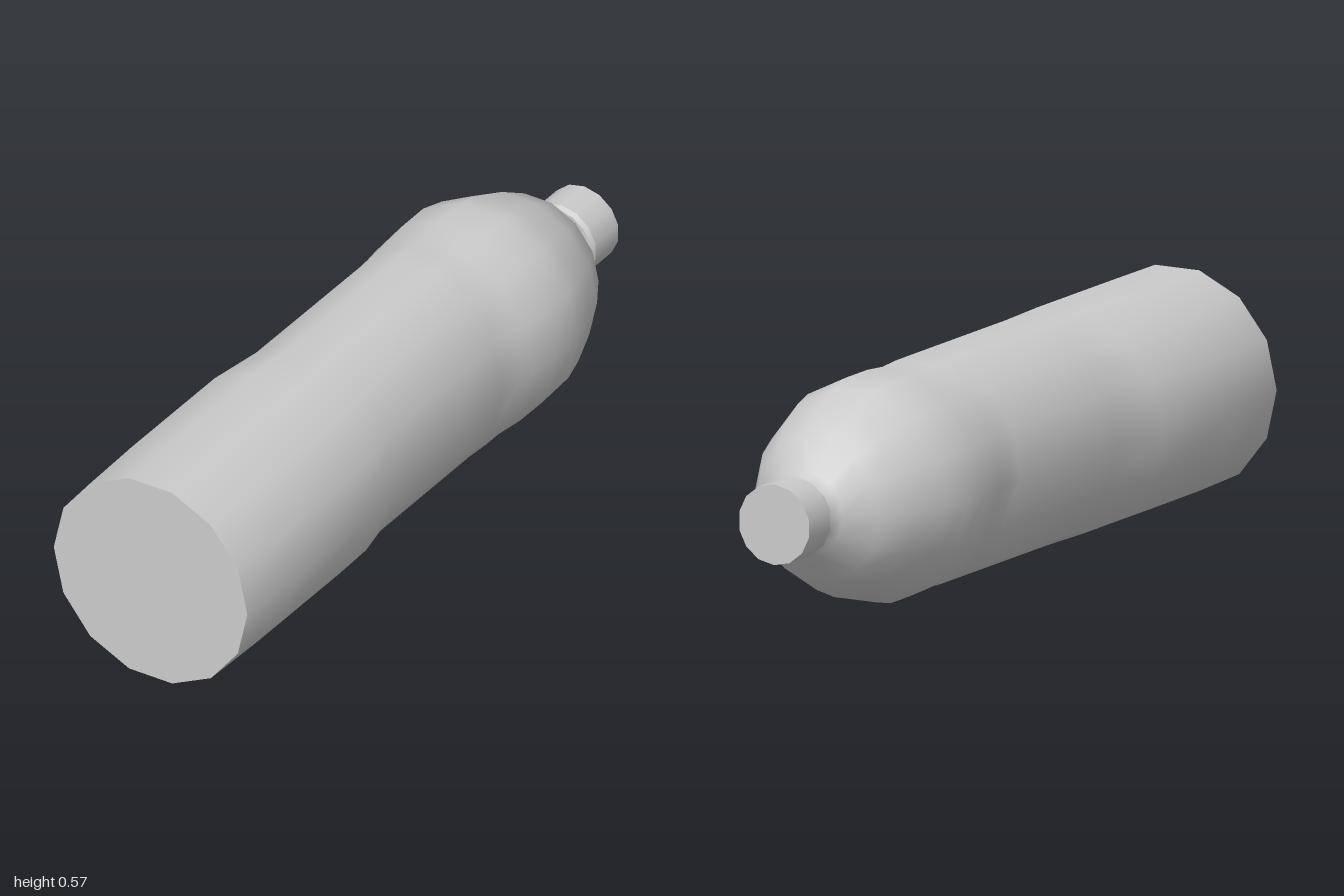
import * as THREE from 'three';
import { mergeVertices } from 'three/addons/utils/BufferGeometryUtils.js';

const SIDES = 14;
const CENTRE_Y = 0.285;

// Bottle rings from base to mouth: [distance along axis, half width, half height]
const RINGS = [
  [-1.0, 0.29, 0.291],
  [-0.8, 0.298, 0.291],
  [-0.42, 0.298, 0.291],
  [-0.26, 0.262, 0.291],
  [0.22, 0.26, 0.291],
  [0.29, 0.268, 0.29],
  [0.34, 0.274, 0.284],
  [0.43, 0.284, 0.291],
  [0.53, 0.285, 0.291],
  [0.6, 0.268, 0.275],
  [0.7, 0.233, 0.236],
  [0.785, 0.182, 0.189],
  [0.84, 0.106, 0.106],
  [0.88, 0.087, 0.087],
  [0.93, 0.085, 0.085],
];

function createBody() {
  const profile = RINGS.map(([d, , h]) => new THREE.Vector2(h, d));
  let geometry = new THREE.LatheGeometry(profile, SIDES, Math.PI / 2);
  // Squeeze each ring sideways to form the grip
  const p = geometry.attributes.position;
  for (let i = 0; i < p.count; i++) {
    const [, w, h] = RINGS[i % RINGS.length];
    p.setX(i, p.getX(i) * w / h);
  }
  // Weld the seam for smooth shading all round
  geometry.deleteAttribute('normal');
  geometry.deleteAttribute('uv');
  geometry = mergeVertices(geometry, 1e-4);
  geometry.computeVertexNormals();
  return geometry.rotateX(-Math.PI / 2);
}

export function createModel() {
  const model = new THREE.Group();
  const material = new THREE.MeshStandardMaterial({ color: 0xcccccc });
  const add = (name, geometry, z) => {
    const mesh = new THREE.Mesh(geometry, material);
    mesh.name = name;
    mesh.position.set(0, CENTRE_Y, z);
    model.add(mesh);
  };

  add('bottleBody', createBody(), 0);

  // Flat base closing the first ring
  const base = new THREE.CircleGeometry(1, SIDES).scale(RINGS[0][1], RINGS[0][2], 1);
  add('bottleBase', base, 1);

  // Screw cap with a narrow chamfer on its lower rim
  const cap = new THREE.CylinderGeometry(0.104, 0.104, 0.105, SIDES).rotateX(-Math.PI / 2);
  add('cap', cap, -0.9475);
  const rim = new THREE.CylinderGeometry(0.104, 0.097, 0.012, SIDES).rotateX(-Math.PI / 2);
  add('capRim', rim, -0.889);

  return model;
}
